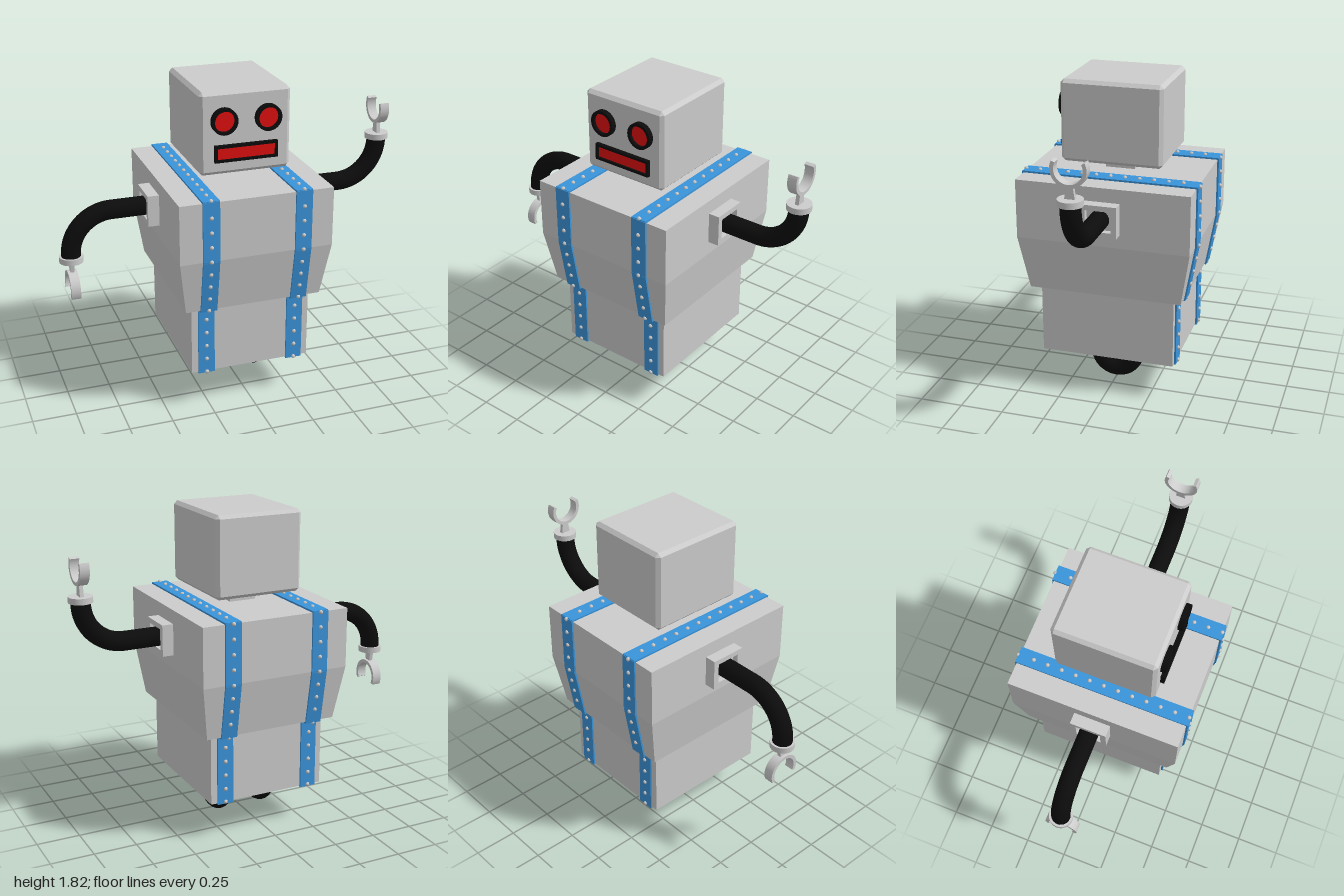
import * as THREE from 'three';
import { ConvexGeometry } from 'three/addons/geometries/ConvexGeometry.js';

const mat = (color, flatShading = false) => new THREE.MeshStandardMaterial({ color, flatShading });
const grey = mat(0xcccccc), greyFlat = mat(0xcccccc, true);
const black = mat(0x0c0c0c), red = mat(0xe01010), blue = mat(0x3a94da);

function add(parent, name, geometry, material, x = 0, y = 0, z = 0) {
  const mesh = new THREE.Mesh(geometry, material);
  mesh.name = name;
  mesh.position.set(x, y, z);
  parent.add(mesh);
  return mesh;
}
const box = (w, h, d) => new THREE.BoxGeometry(w, h, d);
const cyl = (r, h, n = 32) => new THREE.CylinderGeometry(r, r, h, n);
const extrude = (shape, depth) =>
  new THREE.ExtrudeGeometry(shape, { depth, bevelEnabled: false, curveSegments: 32 });

const rectPoints = (w, h) => [[-w, -h], [w, -h], [w, h], [-w, h]].map(([x, y]) => new THREE.Vector2(x, y));
// Rectangular frame given by half sizes
function frame(w, h, iw, ih, depth) {
  const shape = new THREE.Shape(rectPoints(w, h));
  shape.holes.push(new THREE.Path(rectPoints(iw, ih)));
  return extrude(shape, depth);
}

// Box with every edge cut at 45 degrees, given by half sizes
function chamferedBox(x, y, z, c) {
  const points = [];
  for (const i of [-1, 1]) for (const j of [-1, 1]) for (const k of [-1, 1]) {
    points.push(new THREE.Vector3(i * x, j * (y - c), k * (z - c)));
    points.push(new THREE.Vector3(i * (x - c), j * y, k * (z - c)));
    points.push(new THREE.Vector3(i * (x - c), j * (y - c), k * z));
  }
  return new ConvexGeometry(points);
}

function makeHead() {
  const head = new THREE.Group();
  head.name = 'head';
  add(head, 'skull', chamferedBox(0.26, 0.232, 0.29, 0.02), greyFlat, 0, 1.592, 0);
  add(head, 'neck', box(0.16, 0.1, 0.17), grey, 0, 1.325, 0);
  // Eyes: black rims around sunken red discs
  const rim = new THREE.Shape().absarc(0, 0, 0.074, 0, Math.PI * 2);
  rim.holes.push(new THREE.Path().absarc(0, 0, 0.057, 0, Math.PI * 2));
  for (const s of [-1, 1]) {
    add(head, 'eyeRim', extrude(rim, 0.04), black, s * 0.125, 1.664, 0.28);
    add(head, 'eye', cyl(0.06, 0.025), red, s * 0.125, 1.664, 0.29).rotation.x = Math.PI / 2;
  }
  // Mouth
  add(head, 'mouthRim', frame(0.18, 0.047, 0.165, 0.032, 0.033), black, 0, 1.483, 0.28);
  add(head, 'mouth', box(0.335, 0.068, 0.025), red, 0, 1.483, 0.29);
  return head;
}

function makeBody() {
  const body = new THREE.Group();
  body.name = 'body';
  // Chest: straight upper half, lower half tapering inwards
  const chest = new THREE.BoxGeometry(0.88, 0.655, 0.99, 1, 2, 1);
  const p = chest.attributes.position;
  for (let i = 0; i < p.count; i++) {
    const y = p.getY(i);
    if (Math.abs(y) < 0.01) p.setY(i, 0.95);
    else if (y > 0) p.setY(i, 1.29);
    else p.setXYZ(i, p.getX(i) * 0.9, 0.635, p.getZ(i) * 0.89);
  }
  add(body, 'chest', chest, greyFlat);
  // Waist, hollow from below
  add(body, 'waistTop', box(0.7, 0.185, 0.78), grey, 0, 0.5425, 0);
  add(body, 'waistWalls', frame(0.35, 0.39, 0.25, 0.285, 0.23), grey, 0, 0.45, 0).rotation.x = Math.PI / 2;
  return body;
}

// Riveted strap running up the front, over the top and down the back
function makeStrap(x) {
  const strap = new THREE.Group();
  strap.name = 'strap';
  const half = [[0.22, 0.39], [0.635, 0.39], [0.635, 0.44], [0.95, 0.495], [1.29, 0.495]];
  const path = [...half, ...half.map(([y, z]) => [y, -z]).reverse()];
  const rivet = new THREE.SphereGeometry(0.012, 8, 6);
  for (let i = 0; i < path.length - 1; i++) {
    const [y0, z0] = path[i], [y1, z1] = path[i + 1];
    const dy = y1 - y0, dz = z1 - z0, length = Math.hypot(dy, dz);
    const band = add(strap, 'band', box(0.095, length + 0.012, 0.02), blue, x, (y0 + y1) / 2, (z0 + z1) / 2);
    band.rotation.x = Math.atan2(dz, dy);
    const count = Math.max(1, Math.round(length / 0.083));
    for (let k = 0; k < count; k++) {
      const t = k / count;
      // Seat each rivet on the outer side of its band
      add(strap, 'rivet', rivet, grey, x,
        y0 + dy * t - dz / length * 0.01, z0 + dz * t + dy / length * 0.01);
    }
  }
  add(strap, 'rivet', rivet, grey, x, 0.225, -0.4);
  return strap;
}

// Arm with its origin at shoulder height, bending upwards
function makeArm(name) {
  const arm = new THREE.Group();
  arm.name = name;
  add(arm, 'shoulderFrame', frame(0.105, 0.09, 0.072, 0.06, 0.075), grey, 0.43, 0, 0).rotation.y = Math.PI / 2;
  add(arm, 'shoulderPlate', box(0.04, 0.14, 0.16), grey, 0.45, 0, 0);
  // Hose: straight run, then a quarter bend
  const hose = new THREE.CurvePath();
  const v = (x, y) => new THREE.Vector3(x, y, 0);
  const k = 0.552 * 0.24;
  hose.add(new THREE.LineCurve3(v(0.45, 0), v(0.69, 0)));
  hose.add(new THREE.CubicBezierCurve3(v(0.69, 0), v(0.69 + k, 0), v(0.93, 0.24 - k), v(0.93, 0.24)));
  hose.add(new THREE.LineCurve3(v(0.93, 0.24), v(0.93, 0.26)));
  add(arm, 'hose', new THREE.TubeGeometry(hose, 48, 0.055, 24), black);
  add(arm, 'cuff', cyl(0.068, 0.034), grey, 0.93, 0.265, 0);
  // Claw: flared stem and open C
  const stem = new THREE.Shape([[-0.028, 0], [0.028, 0], [0.018, 0.07], [-0.018, 0.07]]
    .map(([x, y]) => new THREE.Vector2(x, y)));
  add(arm, 'clawStem', extrude(stem, 0.022), grey, 0.919, 0.28, 0).rotation.y = Math.PI / 2;
  const a0 = Math.PI - 0.45, a1 = Math.PI * 2 + 0.45;
  const claw = new THREE.Shape();
  claw.absarc(0, 0, 0.096, a0, a1, false);
  claw.absarc(0, 0, 0.076, a1, a0, true);
  add(arm, 'claw', extrude(claw, 0.054), grey, 0.903, 0.438, 0).rotation.y = Math.PI / 2;
  arm.position.y = 1.12;
  return arm;
}

function makeWheels() {
  const wheels = new THREE.Group();
  wheels.name = 'wheels';
  for (const s of [-1, 1]) {
    add(wheels, 'tyre', new THREE.TorusGeometry(0.105, 0.056, 20, 40), black, s * 0.14, 0.161, 0).rotation.y = Math.PI / 2;
    add(wheels, 'hub', cyl(0.07, 0.05), black, s * 0.14, 0.161, 0).rotation.z = Math.PI / 2;
  }
  add(wheels, 'axle', cyl(0.022, 0.3, 20), grey, 0, 0.163, 0).rotation.z = Math.PI / 2;
  add(wheels, 'axlePost', cyl(0.013, 0.3, 16), grey, 0, 0.32, 0);
  return wheels;
}

export function createModel() {
  const robot = new THREE.Group();
  robot.name = 'robot';
  robot.add(makeHead(), makeBody(), makeStrap(0.265), makeStrap(-0.265), makeWheels());
  // The right arm is the left one turned to hang down
  const rightArm = makeArm('rightArm');
  rightArm.rotation.z = Math.PI;
  robot.add(makeArm('leftArm'), rightArm);
  return robot;
}
